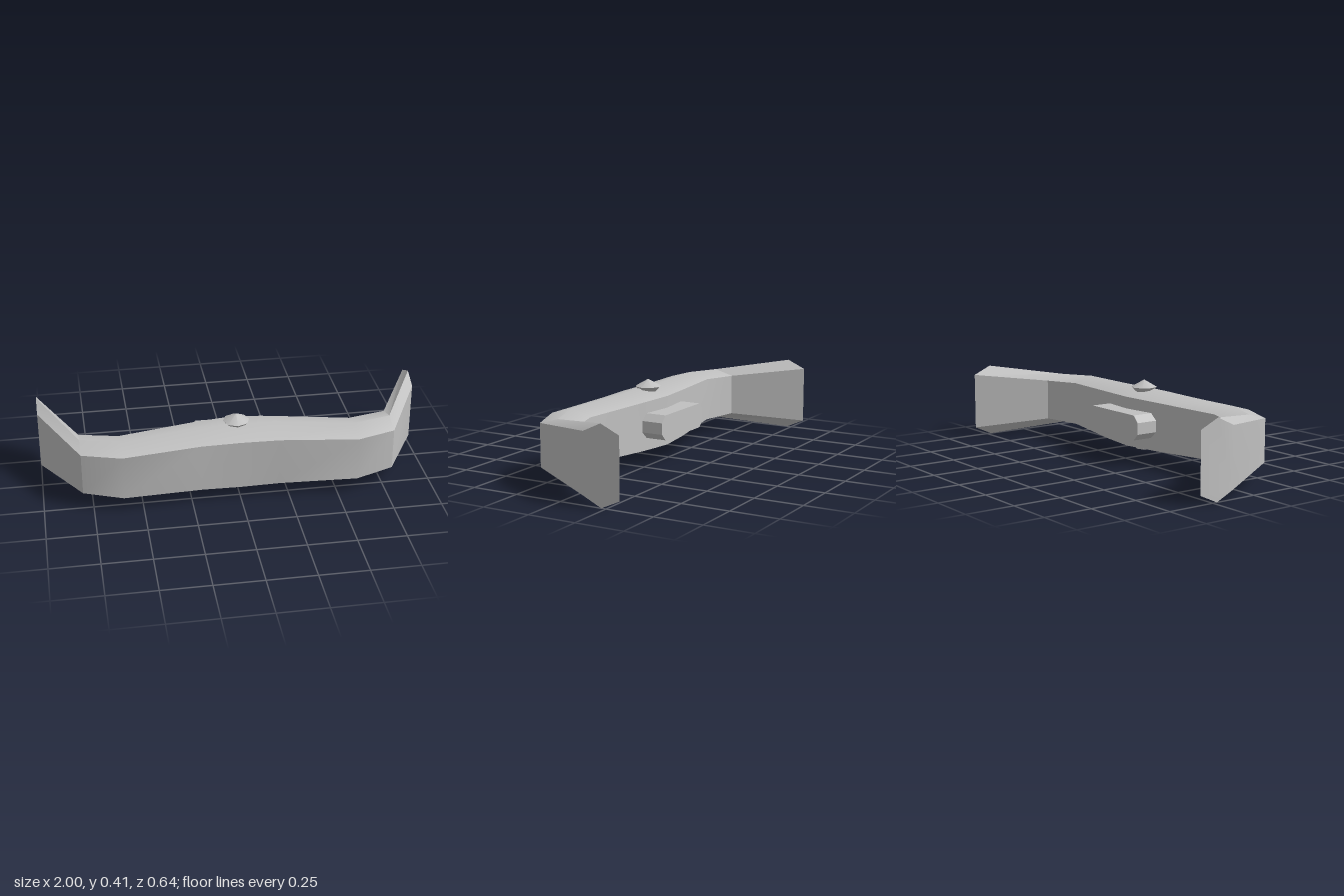
import * as THREE from 'three';
import { toCreasedNormals } from 'three/addons/utils/BufferGeometryUtils.js';

const CREASE = 0.6;

// Half of the beam: [x, front z, ridge z, back z, shoulder half height, ridge half height]
const STATIONS = [
  [0, 0.285, 0.15, 0.007, 0.13, 0.167],
  [0.2, 0.285, 0.155, 0.03, 0.127, 0.161],
  [0.6, 0.32, 0.207, 0.095, 0.116, 0.148],
  [0.8, 0.25, 0.145, 0.04, 0.11, 0.14],
  [1, -0.13, -0.225, -0.324, 0.152, 0.197],
];
const MID_Y = 0.197;

// Six-sided cross-sections lofted along x, with flat end caps
function beamGeometry() {
  const mirrored = STATIONS.slice(1).reverse().map(([x, ...rest]) => [-x, ...rest]);
  const rings = [...mirrored, ...STATIONS];
  const positions = [];
  for (const [x, front, ridge, back, shoulder, peak] of rings) {
    const section = [[-shoulder, front], [shoulder, front], [peak, ridge],
      [shoulder, back], [-shoulder, back], [-peak, ridge]];
    for (const [y, z] of section) positions.push(x, MID_Y + y, z);
  }
  const index = [];
  for (let i = 0; i < rings.length - 1; i++) {
    for (let j = 0; j < 6; j++) {
      const a = i * 6 + j, b = i * 6 + (j + 1) % 6;
      index.push(a, a + 6, b + 6, a, b + 6, b);
    }
  }
  const last = (rings.length - 1) * 6;
  for (let j = 1; j < 5; j++) {
    index.push(0, j, j + 1);
    index.push(last, last + j + 1, last + j);
  }
  const geometry = new THREE.BufferGeometry();
  geometry.setAttribute('position', new THREE.Float32BufferAttribute(positions, 3));
  geometry.setIndex(index);
  return toCreasedNormals(geometry, CREASE);
}

// Long block with chamfered corners, extruded in z
function blockGeometry(halfWidth, halfHeight, chamfer, depth) {
  const w = halfWidth, h = halfHeight, c = chamfer;
  const outline = [[-w + c, -h], [w - c, -h], [w, -h + c], [w, h - c],
    [w - c, h], [-w + c, h], [-w, h - c], [-w, -h + c]];
  const shape = new THREE.Shape(outline.map(([x, y]) => new THREE.Vector2(x, y)));
  return new THREE.ExtrudeGeometry(shape, { depth, bevelEnabled: false });
}

export function createModel() {
  const group = new THREE.Group();
  const grey = new THREE.MeshStandardMaterial({ color: 0xc0c0c0 });
  grey.name = 'grey';

  const add = (name, geometry) => {
    const mesh = new THREE.Mesh(geometry, grey);
    mesh.name = name;
    group.add(mesh);
    return mesh;
  };

  // Curved beam with swept-back ends
  add('beam', beamGeometry());

  // Mounting block on the back
  add('mountingBlock', blockGeometry(0.215, 0.065, 0.035, 0.135)).position.set(-0.003, 0.2, -0.085);

  // Eight-sided pin through the middle with a pointed cap
  const profile = [[0, 0.04], [0.045, 0.04], [0.045, 0.345], [0.068, 0.37], [0, 0.408]]
    .map(([r, y]) => new THREE.Vector2(r, y));
  const pin = new THREE.LatheGeometry(profile, 8);
  pin.deleteAttribute('normal');
  add('pin', toCreasedNormals(pin, CREASE)).position.z = 0.123;

  return group;
}
